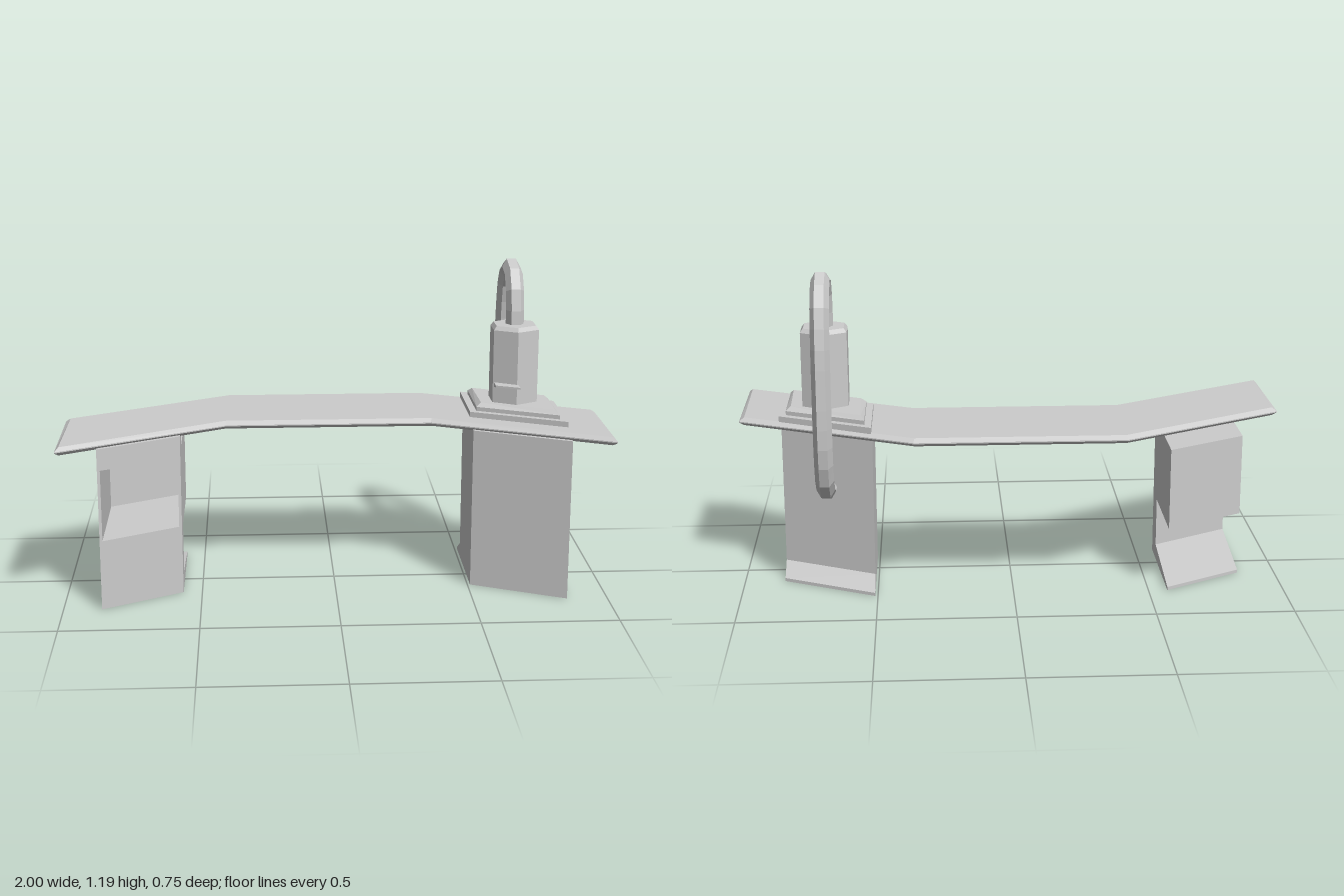
import * as THREE from 'three';

const material = new THREE.MeshStandardMaterial({ color: 0xcccccc, flatShading: true, side: THREE.DoubleSide });

// Slope (dz/dx) of the two swept-forward wings
const LEFT = 0.48, RIGHT = -0.55;

function add(parent, name, geometry) {
  geometry.computeVertexNormals();
  const mesh = new THREE.Mesh(geometry, material);
  mesh.name = name;
  parent.add(mesh);
  return mesh;
}

function polygon(points) {
  return new THREE.Shape(points.map(([x, y]) => new THREE.Vector2(x, y)));
}

function rectangle(x0, x1, y0, y1) {
  return polygon([[x0, y0], [x1, y0], [x1, y1], [x0, y1]]);
}

// Skews a geometry so that z follows the slope of a wing, starting at x0
function shear(geometry, slope, x0) {
  const p = geometry.attributes.position;
  for (let i = 0; i < p.count; i++) p.setZ(i, p.getZ(i) + slope * (p.getX(i) - x0));
  return geometry;
}

// Side profile of [distance back, height] points, swept from x0 to x1
function profile(points, x0, x1, z0, slope) {
  const g = new THREE.ExtrudeGeometry(polygon(points), { depth: x1 - x0, bevelEnabled: false });
  g.rotateY(Math.PI / 2).translate(x0, 0, z0);
  return shear(g, slope, x0);
}

// Front outline swept backwards from distance b0 to b1
function outline(shape, b0, b1, x0, z0, slope) {
  const g = new THREE.ExtrudeGeometry(shape, { depth: b1 - b0, bevelEnabled: false });
  return shear(g.translate(0, 0, z0 - b1), slope, x0);
}

// Flat plate from an [x, z] outline with chamfered edges
function plate(points, y0, y1, chamferHeight = 0, chamferWidth = 0) {
  const g = new THREE.ExtrudeGeometry(polygon(points.map(([x, z]) => [x, -z])), {
    depth: y1 - y0 - 2 * chamferHeight,
    bevelEnabled: chamferHeight > 0,
    bevelThickness: chamferHeight, bevelSize: chamferWidth, bevelOffset: -chamferWidth, bevelSegments: 1,
  });
  return g.rotateX(-Math.PI / 2).translate(0, y0 + chamferHeight, 0);
}

// Parallelogram whose long sides run along the left wing
function wingOutline(x0, x1, back, front) {
  const rise = LEFT * (x1 - x0);
  return [[x0, back], [x1, back + rise], [x1, front + rise], [x0, front]];
}

export function createModel() {
  const model = new THREE.Group();
  model.name = 'counter';

  // Bent counter top
  add(model, 'counterTop', plate([
    [-1, -0.05], [-0.4, -0.38], [0.36, -0.38], [1, -0.08],
    [1, 0.34], [0.36, 0.04], [-0.4, 0.04], [-1, 0.37],
  ], 0.6, 0.63, 0.013, 0.018));

  // Solid leg with a sloping foot
  const solidLeg = new THREE.Group();
  solidLeg.name = 'leftLeg';
  model.add(solidLeg);
  add(solidLeg, 'leftLegBody', profile([[0, 0], [0.315, 0], [0.315, 0.605], [0, 0.605]], 0.51, 0.85, 0.115, LEFT));
  add(solidLeg, 'leftLegFoot', profile([[0.315, 0], [0.395, 0], [0.395, 0.012], [0.315, 0.055]], 0.51, 0.85, 0.115, LEFT));

  // Leg with an open cubby: front panel, walls, back and foot
  const cubbyLeg = new THREE.Group();
  cubbyLeg.name = 'rightLeg';
  model.add(cubbyLeg);
  const x0 = -0.86, x1 = -0.57, z0 = 0.3;
  const hole = rectangle(-0.85, -0.58, 0.26, 0.525);
  const panel = rectangle(x0, x1, 0, 0.605);
  const walls = rectangle(x0, x1, 0.24, 0.545);
  panel.holes.push(hole);
  walls.holes.push(hole);
  add(cubbyLeg, 'frontPanel', outline(panel, 0, 0.09, x0, z0, RIGHT));
  add(cubbyLeg, 'cubbyWalls', outline(walls, 0.09, 0.4, x0, z0, RIGHT));
  add(cubbyLeg, 'cubbyBack', outline(rectangle(x0, x1, 0.24, 0.545), 0.4, 0.42, x0, z0, RIGHT));
  add(cubbyLeg, 'rightLegFoot', profile([[0.09, 0], [0.42, 0], [0.42, 0.012], [0.09, 0.055]], x0, x1, z0, RIGHT));

  // Tap standing on a stepped base
  const tap = new THREE.Group();
  tap.name = 'tap';
  model.add(tap);
  add(tap, 'lowerBase', plate(wingOutline(0.51, 0.85, -0.295, 0.015), 0.62, 0.65));
  add(tap, 'upperBase', plate(wingOutline(0.535, 0.825, -0.255, 0), 0.635, 0.68, 0.015, 0.018));

  // Hexagonal column with a chamfered top
  const cx = 0.68, cz = -0.06;
  add(tap, 'column', new THREE.CylinderGeometry(0.097, 0.097, 0.275, 6).translate(cx, 0.8175, cz));
  add(tap, 'columnCap', new THREE.CylinderGeometry(0.085, 0.097, 0.015, 6).translate(cx, 0.9625, cz));

  // Thin wedge-shaped spout on the front of the column
  add(tap, 'spout', profile([[0, 0.75], [0.05, 0.74], [0.05, 0.757], [0, 0.757]], 0.6, 0.685, 0.042, LEFT));

  // Pipe looping over the back and into the leg
  const path = new THREE.CatmullRomCurve3([
    [0.95, -0.06], [1.07, -0.067], [1.14, -0.105], [1.165, -0.17], [1.125, -0.265], [1.0, -0.312],
    [0.8, -0.33], [0.56, -0.328], [0.445, -0.29], [0.385, -0.21], [0.375, -0.11],
  ].map(([y, z]) => new THREE.Vector3(cx, y, z)), false, 'centripetal');
  add(tap, 'pipe', new THREE.TubeGeometry(path, 18, 0.034, 6).toNonIndexed());
  add(tap, 'pipeCollar', new THREE.CylinderGeometry(0.043, 0.043, 0.03, 6)
    .rotateX(Math.PI / 2).translate(cx, 0.378, -0.115));

  return model;
}
